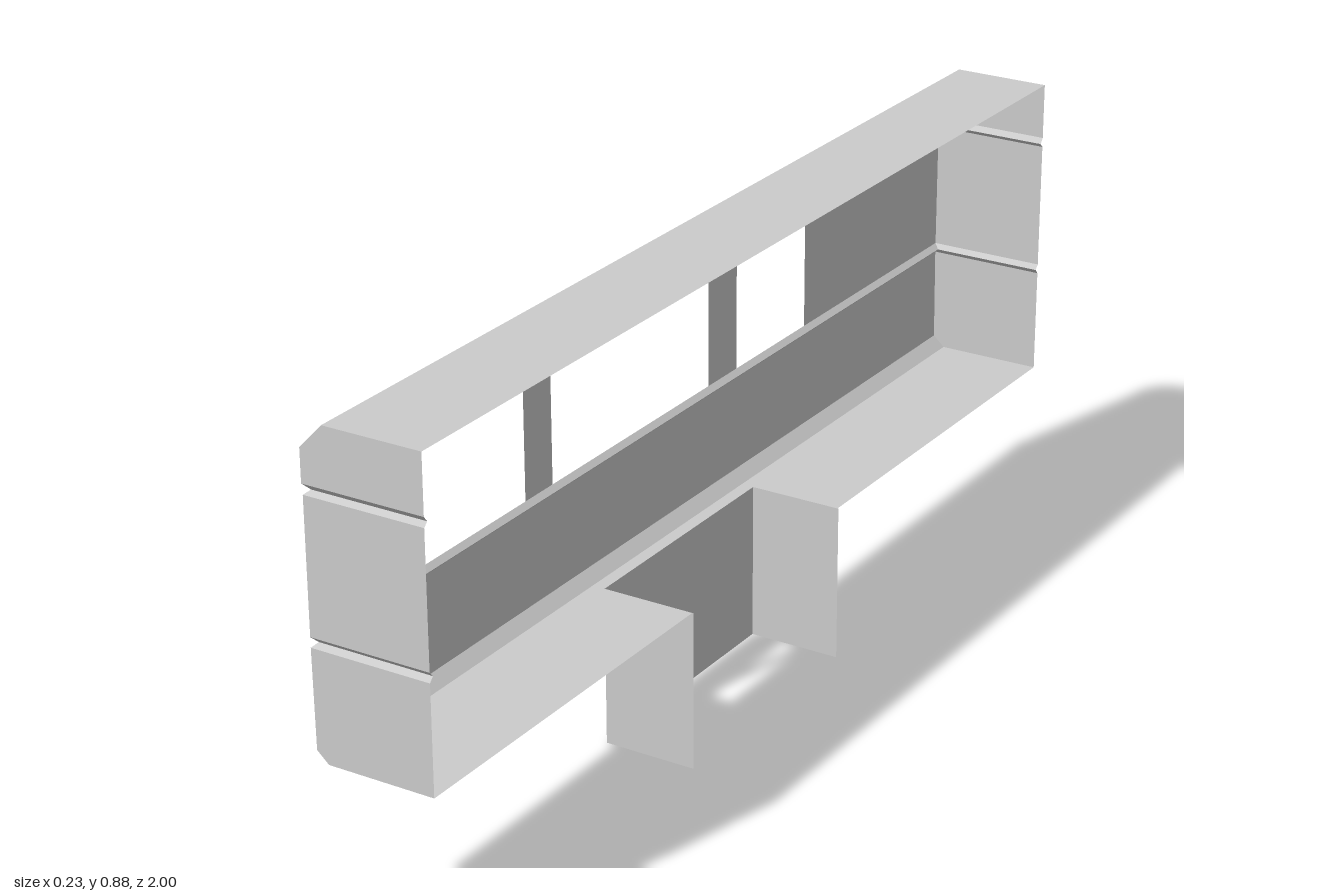
import * as THREE from 'three';

const material = new THREE.MeshStandardMaterial({ color: 0xcccccc, flatShading: true, side: THREE.DoubleSide });
const OPEN_X = 0.11; // open long side of the shell

// One mesh from a list of four-cornered panels.
function panels(name, quads) {
  const points = quads.flatMap(([a, b, c, d]) => [a, b, c, a, c, d].flat());
  const geometry = new THREE.BufferGeometry();
  geometry.setAttribute('position', new THREE.Float32BufferAttribute(points, 3));
  geometry.computeVertexNormals();
  const mesh = new THREE.Mesh(geometry, material);
  mesh.name = name;
  return mesh;
}

// Horizontal panel facing up (sign 1) or down (sign -1).
function flat(y, x0, x1, z0, z1, up) {
  const q = [[x0, y, z1], [x1, y, z1], [x1, y, z0], [x0, y, z0]];
  return up ? q : q.reverse();
}

// Upright panel on the -x side, between two profile levels.
const side = (a, b, z0a, z1a, z0b = z0a, z1b = z1a) =>
  [[a.x, a.y, z0a], [a.x, a.y, z1a], [b.x, b.y, z1b], [b.x, b.y, z0b]];

// The two end panels between two profile levels, facing outwards.
const ends = (a, b) => [
  [[a.x, a.y, a.z], [OPEN_X, a.y, a.z], [OPEN_X, b.y, b.z], [b.x, b.y, b.z]],
  [[OPEN_X, a.y, -a.z], [a.x, a.y, -a.z], [b.x, b.y, -b.z], [OPEN_X, b.y, -b.z]],
];

const band = (a, b) => [side(a, b, -a.z, a.z, -b.z, b.z), ...ends(a, b)];

export function createModel() {
  const group = new THREE.Group();

  // Profile from floor to roof: height, wall x, half length
  const levels = [
    [0.298, -0.09, 1], [0.318, -0.112, 1], [0.495, -0.114, 1],
    [0.504, -0.104, 0.992], [0.513, -0.114, 1], [0.752, -0.114, 1],
    [0.76, -0.104, 0.992], [0.77, -0.116, 1], [0.83, -0.116, 1], [0.875, -0.073, 1],
  ].map(([y, x, z]) => ({ y, x, z }));

  const bands = (name, from, to) => {
    const quads = [];
    for (let i = from; i < to; i++) quads.push(...band(levels[i], levels[i + 1]));
    group.add(panels(name, quads));
  };
  bands('lowerBody', 0, 2);
  bands('lowerGroove', 2, 4);
  bands('upperGroove', 5, 7);
  bands('roofEdge', 7, 9);

  // Window band: solid ends, posts and one wide panel
  const [sill, head] = [levels[4], levels[5]];
  group.add(panels('windowBandEnds', ends(sill, head)));
  const posts = [[0.91, 1], [0.34, 0.42], [-0.25, -0.155], [-1, -0.49]];
  group.add(panels('windowPosts', posts.map(([z0, z1]) => side(sill, head, z0, z1))));

  // Roof
  group.add(panels('roof', [flat(0.875, -0.073, OPEN_X, -1, 1, true)]));

  // Floor, cut out above the base
  const [zBack, zFront, baseX] = [-0.23, 0.26, -0.066];
  group.add(panels('floor', [
    flat(0.298, -0.09, OPEN_X, zFront, 1, false),
    flat(0.298, -0.09, OPEN_X, -1, zBack, false),
    flat(0.298, -0.09, baseX, zBack, zFront, false),
  ]));

  // Base: one wall and two ends, open above and below
  const low = { x: baseX, y: 0 }, high = { x: baseX, y: 0.298 }, x1 = 0.112;
  group.add(panels('base', [
    side(low, high, zBack, zFront),
    [[baseX, 0, zFront], [x1, 0, zFront], [x1, 0.298, zFront], [baseX, 0.298, zFront]],
    [[x1, 0, zBack], [baseX, 0, zBack], [baseX, 0.298, zBack], [x1, 0.298, zBack]],
  ]));

  return group;
}
